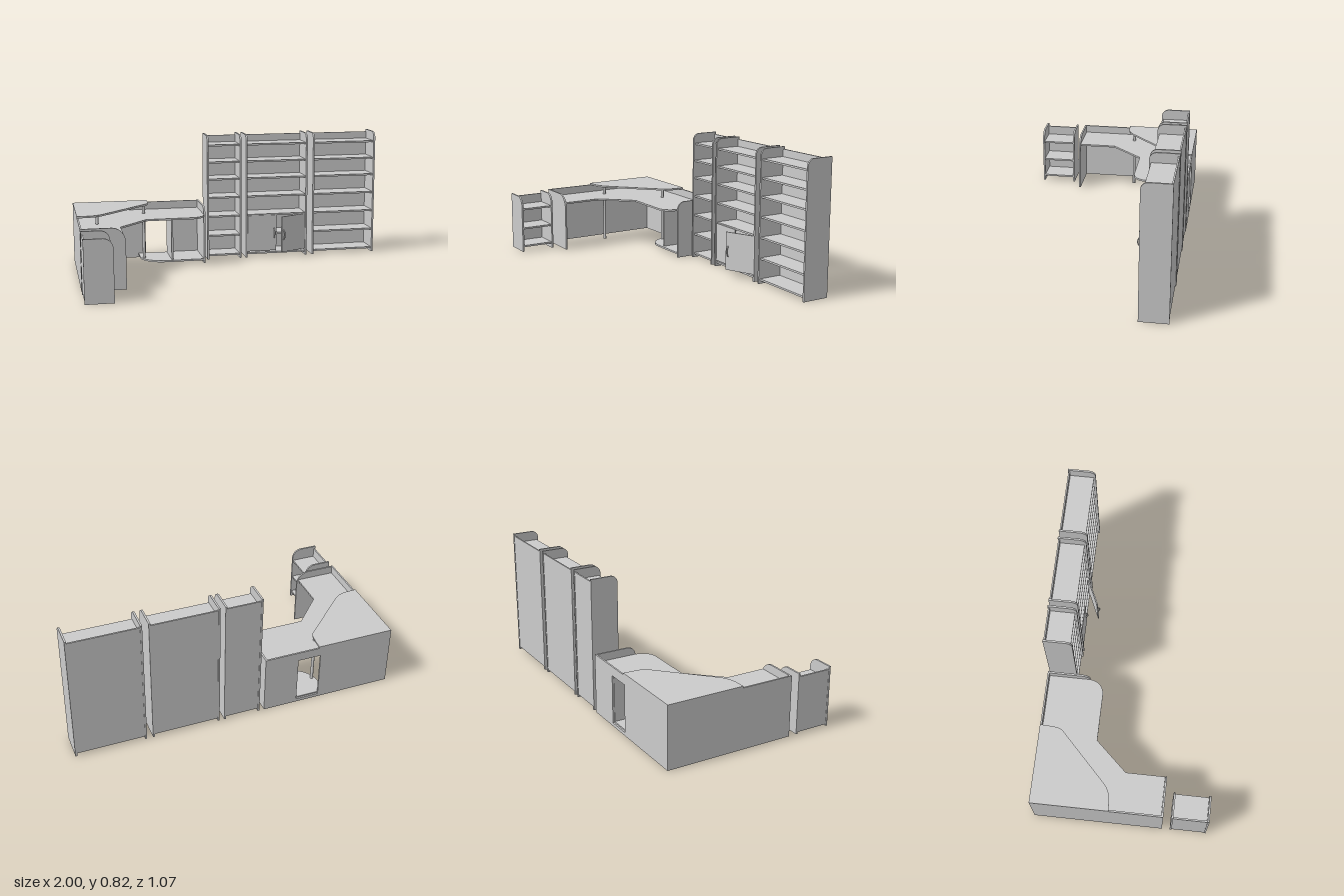
import * as THREE from 'three';
import { toCreasedNormals } from 'three/addons/utils/BufferGeometryUtils.js';

const mat = new THREE.MeshStandardMaterial({ color: 0xcccccc });
const T = 0.011; // board thickness

function add(parent, name, geo) {
  const m = new THREE.Mesh(geo, mat);
  m.name = name;
  parent.add(m);
  return m;
}

// board given by its lower and upper corners
function board(parent, name, x0, x1, y0, y1, z0, z1) {
  const g = new THREE.BoxGeometry(x1 - x0, y1 - y0, z1 - z0);
  g.translate((x0 + x1) / 2, (y0 + y1) / 2, (z0 + z1) / 2);
  return add(parent, name, g);
}

const extrude = (shape, depth) => toCreasedNormals(
  new THREE.ExtrudeGeometry(shape, { depth, bevelEnabled: false, curveSegments: 12 }), 0.5);

// upright panel outline with its far top corner rounded
function roundedPanel(u0, u1, h, r) {
  const s = new THREE.Shape();
  s.moveTo(u0, 0);
  s.lineTo(u1, 0);
  s.lineTo(u1, h - r);
  s.absarc(u1 - r, h - r, r, 0, Math.PI / 2, false);
  s.lineTo(u0, h);
  s.closePath();
  return s;
}

// upright panel facing sideways, starting at x
function sidePanel(parent, name, x, z0, z1, h, r) {
  const g = extrude(roundedPanel(z0, z1, h, r), T);
  g.rotateY(-Math.PI / 2).translate(x + T, 0, 0);
  add(parent, name, g);
}

// upright panel facing front, starting at z
function endPanel(parent, name, z, x0, x1, h, r) {
  add(parent, name, extrude(roundedPanel(x0, x1, h, r), T).translate(0, 0, z));
}

// flat plate drawn in (x, -z), with its underside at y
function plate(parent, name, shape, y, t) {
  add(parent, name, extrude(shape, t).rotateX(-Math.PI / 2).translate(0, y, 0));
}

function handle(parent, x, y, z) {
  const c = new THREE.QuadraticBezierCurve3(
    new THREE.Vector3(x, y - 0.03, z), new THREE.Vector3(x, y, z + 0.026), new THREE.Vector3(x, y + 0.03, z));
  add(parent, 'doorHandle', new THREE.TubeGeometry(c, 12, 0.004, 8));
  for (const s of [-1, 1]) {
    add(parent, 'handleFoot', new THREE.SphereGeometry(0.005, 8, 6)).position.set(x, y + s * 0.03, z);
  }
}

const SHELVES = [0.03, 0.16, 0.288, 0.413, 0.534, 0.646, 0.757];
const BACK = -0.535, FRONT = -0.375;

function bookcase(name, x0, x1) {
  const g = new THREE.Group();
  g.name = name;
  for (const x of [x0, x1 - T]) sidePanel(g, 'caseSide', x, BACK, -0.364, 0.817, 0.043);
  board(g, 'caseBack', x0 + T, x1 - T, 0.018, 0.802, -0.532, -0.523);
  for (const y of SHELVES) board(g, 'shelf', x0 + T, x1 - T, y - T, y, -0.523, FRONT);
  return g;
}

function cabinetDoors(g) {
  board(g, 'closedDoor', 0.129, 0.324, 0.04, 0.28, FRONT - 0.002, FRONT + 0.006);
  handle(g, 0.31, 0.158, FRONT + 0.006);
  // right door stands ajar on its hinge
  const door = new THREE.Group();
  door.name = 'openDoor';
  board(door, 'doorLeaf', -0.197, 0, 0.042, 0.28, -0.004, 0.004);
  handle(door, -0.182, 0.158, 0.004);
  door.position.set(0.52, 0, FRONT);
  door.rotation.y = 0.425;
  g.add(door);
}

function desk() {
  const g = new THREE.Group();
  g.name = 'cornerDesk';

  // main worktop
  const top = new THREE.Shape();
  top.moveTo(-0.99, 0.525);
  top.lineTo(-0.99, -0.25);
  top.lineTo(-0.745, -0.25);
  top.lineTo(-0.745, -0.012);
  top.lineTo(-0.565, 0.183);
  top.lineTo(-0.27, 0.183);
  top.absarc(-0.273, 0.273, 0.09, -Math.PI / 2, 0, false);
  top.lineTo(-0.183, 0.525);
  top.closePath();
  plate(g, 'worktop', top, 0.311, T);

  // raised corner shelf
  const up = new THREE.Shape();
  up.moveTo(-1, 0.535);
  up.lineTo(-1, 0.063);
  up.lineTo(-0.965, 0.064);
  up.bezierCurveTo(-0.90, 0.066, -0.87, 0.078, -0.835, 0.11);
  up.lineTo(-0.54, 0.395);
  up.bezierCurveTo(-0.522, 0.415, -0.522, 0.45, -0.518, 0.535);
  up.closePath();
  plate(g, 'raisedCornerShelf', up, 0.371, T);

  // outer walls
  board(g, 'leftWall', -1, -0.99, 0, 0.371, BACK, 0.251);
  endPanel(g, 'deskEndPanel', 0.251, -1, -0.737, 0.371, 0.085);
  sidePanel(g, 'deskRightPanel', -0.183, BACK, -0.273, 0.371, 0.05);

  // back wall with an opening
  const wall = new THREE.Shape();
  wall.moveTo(-0.99, 0);
  wall.lineTo(-0.183, 0);
  wall.lineTo(-0.183, 0.371);
  wall.lineTo(-0.99, 0.371);
  wall.closePath();
  const hole = new THREE.Path();
  hole.moveTo(-0.53, 0.02);
  hole.lineTo(-0.53, 0.315);
  hole.lineTo(-0.385, 0.315);
  hole.lineTo(-0.385, 0.02);
  hole.closePath();
  wall.holes.push(hole);
  add(g, 'backWall', extrude(wall, 0.01).translate(0, 0, BACK));

  // low base shelf with a rounded corner, and its divider
  const base = new THREE.Shape();
  base.moveTo(-0.183, 0.525);
  base.lineTo(-0.58, 0.525);
  base.lineTo(-0.58, 0.43);
  base.absarc(-0.43, 0.43, 0.15, Math.PI, Math.PI * 1.5, false);
  base.lineTo(-0.183, 0.28);
  base.closePath();
  plate(g, 'baseShelf', base, 0.017, T);
  board(g, 'divider', -0.39, -0.379, 0.028, 0.311, -0.525, -0.295);

  // posts carrying the raised shelf
  for (const [x, z, y0] of [[-0.875, -0.11, 0], [-0.557, -0.39, 0.028]]) {
    const h = 0.371 - y0;
    add(g, 'post', new THREE.CylinderGeometry(0.0095, 0.0095, h, 20)).position.set(x, y0 + h / 2, z);
  }
  return g;
}

function endShelfUnit() {
  const g = new THREE.Group();
  g.name = 'endShelfUnit';
  for (const z of [0.311, 0.535 - T]) endPanel(g, 'unitPanel', z, -1, -0.832, 0.371, 0.06);
  board(g, 'unitBack', -0.998, -0.988, 0.01, 0.352, 0.311 + T, 0.535 - T);
  for (const y of [0.041, 0.163, 0.293]) {
    board(g, 'unitShelf', -0.988, -0.837, y - T, y, 0.311 + T, 0.535 - T);
  }
  return g;
}

export function createModel() {
  const model = new THREE.Group();
  model.name = 'officeFurniture';
  const middle = bookcase('middleBookcase', 0.116, 0.533);
  cabinetDoors(middle);
  model.add(
    bookcase('narrowBookcase', -0.142, 0.086), middle, bookcase('wideBookcase', 0.57, 1),
    desk(), endShelfUnit());
  return model;
}
